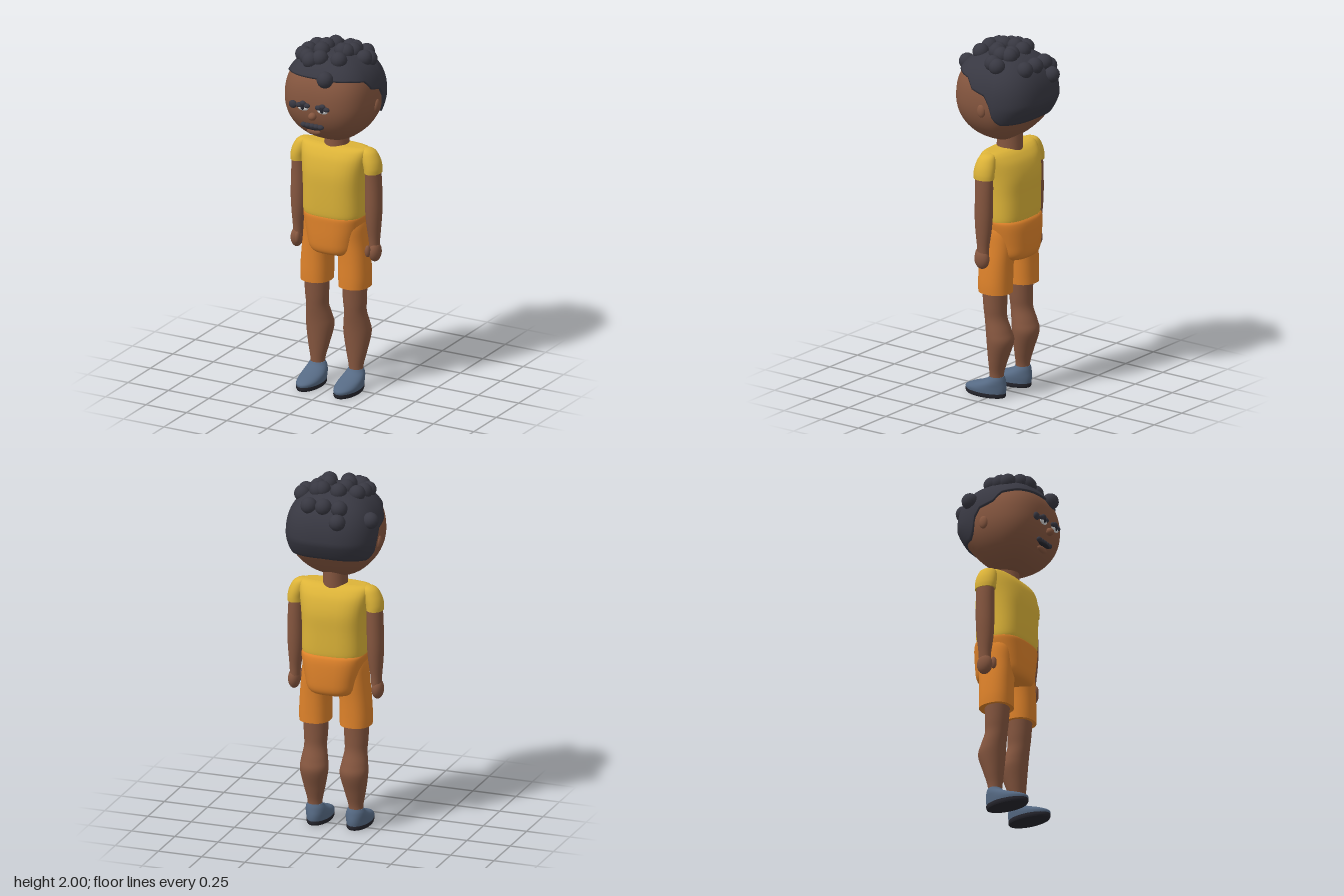
import * as THREE from 'three';
import { mergeVertices } from 'three/addons/utils/BufferGeometryUtils.js';

const mat = (name, color, side = THREE.FrontSide) => {
  const m = new THREE.MeshStandardMaterial({ color, side });
  m.name = name;
  return m;
};

function buildGeometry(pos, idx) {
  const g = new THREE.BufferGeometry();
  g.setAttribute('position', new THREE.Float32BufferAttribute(pos, 3));
  g.setIndex(idx);
  return g;
}

const spow = (v, e) => Math.sign(v) * Math.pow(Math.abs(v), e);

// Smooth loft through rings [y, halfWidth, zFront, zBack, xCentre], bottom to top, closed with caps
function loft(rings, n = 2, seg = 36, sub = 5) {
  const rows = [];
  const mix = (k, i, t) => {
    const at = (j) => rings[Math.min(Math.max(j, 0), rings.length - 1)][k] || 0;
    const [a, b, c, d] = [at(i - 1), at(i), at(i + 1), at(i + 2)];
    return b + 0.5 * t * (c - a + t * (2 * a - 5 * b + 4 * c - d + t * (3 * (b - c) + d - a)));
  };
  for (let i = 0; i < rings.length - 1; i++)
    for (let s = 0; s < sub; s++) rows.push([0, 1, 2, 3, 4].map((k) => mix(k, i, s / sub)));
  rows.push([0, 1, 2, 3, 4].map((k) => rings[rings.length - 1][k] || 0));

  const pos = [], idx = [];
  const addRing = ([y, rx, zf, zb, xc]) => {
    const start = pos.length / 3;
    for (let j = 0; j < seg; j++) {
      const a = (j / seg) * Math.PI * 2;
      pos.push(xc + rx * spow(Math.cos(a), 2 / n), y, (zf + zb) / 2 + ((zf - zb) / 2) * spow(Math.sin(a), 2 / n));
    }
    return start;
  };
  const starts = rows.map(addRing);
  for (let i = 0; i < rows.length - 1; i++)
    for (let j = 0; j < seg; j++) {
      const k = (j + 1) % seg, a = starts[i], b = starts[i + 1];
      idx.push(a + j, b + j, a + k, a + k, b + j, b + k);
    }
  for (const top of [false, true]) {
    const r = rows[top ? rows.length - 1 : 0];
    const s = addRing(r), c = pos.length / 3;
    pos.push(r[4], r[0], (r[2] + r[3]) / 2);
    for (let j = 0; j < seg; j++) {
      const k = (j + 1) % seg;
      idx.push(c, s + (top ? k : j), s + (top ? j : k));
    }
  }
  const g = buildGeometry(pos, idx);
  g.computeVertexNormals();
  return g;
}

// Head: squarish in plan, egg-shaped in profile, tucked in at the nape
const CY = 1.69, RY = 0.25;
function headPoint(a, v, grow) {
  const t = Math.sin(v), m = t > 0 ? 2.4 : 2;
  const s = Math.pow(Math.max(0, 1 - Math.pow(Math.abs(t), m)), 1 / m);
  const c = Math.cos(a);
  let z = (c > 0 ? 0.243 : 0.258 + 0) * spow(c, 2 / 2.7) * s;
  if (c < 0 && t < 0) z *= 1 + 0.35 * t;
  return [0.253 * spow(Math.sin(a), 2 / 2.7) * s * grow, CY + RY * t * grow, z * grow];
}

function headSurface(lowest, growAt, seg = 72, rows = 32) {
  const pos = [], idx = [];
  for (let i = 0; i <= rows; i++)
    for (let j = 0; j < seg; j++) {
      const a = (j / seg) * Math.PI * 2;
      const v = Math.PI / 2 + (lowest(a) - Math.PI / 2) * Math.min(1, i / (rows - 1));
      pos.push(...headPoint(a, v, growAt(i, rows)));
    }
  for (let i = 0; i < rows; i++)
    for (let j = 0; j < seg; j++) {
      const k = (j + 1) % seg, p = i * seg, q = p + seg;
      idx.push(p + j, q + j, p + k, p + k, q + j, q + k);
    }
  const g = mergeVertices(buildGeometry(pos, idx), 1e-5);
  g.computeVertexNormals();
  return g;
}

// Hairline height by angle (degrees) from the forehead to the nape
const HAIRLINE = [[0, 1.84], [50, 1.835], [77, 1.82], [85, 1.77], [96, 1.745], [101, 1.69], [106, 1.62], [118, 1.59], [180, 1.6]];
function hairlineAngle(a) {
  const d = THREE.MathUtils.radToDeg(a > Math.PI ? Math.PI * 2 - a : a);
  let i = 0;
  while (i < HAIRLINE.length - 2 && d > HAIRLINE[i + 1][0]) i++;
  const [d0, y0] = HAIRLINE[i], [d1, y1] = HAIRLINE[i + 1];
  return Math.asin((y0 + ((y1 - y0) * (d - d0)) / (d1 - d0) - CY) / RY);
}

// Curl centres [x, z], resting on the hair cap
const CURLS = [[-0.09, -0.24], [-0.085, -0.195], [0.005, -0.2], [0.09, -0.195], [-0.235, -0.115], [-0.04, -0.085],
  [-0.13, -0.04], [-0.06, -0.02], [-0.05, 0.05], [-0.145, 0.025], [-0.15, 0.075], [-0.1, 0.12], [-0.07, 0.145],
  [-0.02, 0.125], [0.055, -0.08], [0.08, -0.085], [0.095, -0.04], [0.055, 0.01], [0.075, 0.005], [0.175, -0.07],
  [0.165, -0.035], [0.085, 0.105], [0.06, 0.215]];

export function createModel() {
  const model = new THREE.Group();
  model.name = 'child';
  const skin = mat('skin', 0x85563f), hair = mat('hair', 0x383842, THREE.DoubleSide);
  const yellow = mat('shirt yellow', 0xdcb338), orange = mat('shorts orange', 0xde822a);
  const blue = mat('shoe blue', 0x566a84), dark = mat('sole dark', 0x25252d), white = mat('eye white', 0xd8d8d8);

  const add = (name, geo, material, parent = model) => {
    const mesh = new THREE.Mesh(geo, material);
    mesh.name = name;
    parent.add(mesh);
    return mesh;
  };
  const blob = (name, material, [x, y, z], [rx, ry, rz], parent) => {
    const mesh = add(name, new THREE.SphereGeometry(1, 20, 14), material, parent);
    mesh.position.set(x, y, z);
    mesh.scale.set(rx, ry, rz);
    return mesh;
  };

  // Head, hair cap and curls
  add('head', headSurface(() => -Math.PI / 2, () => 1), skin);
  add('hairCap', headSurface(hairlineAngle, (i, n) => (i === n ? 0.97 : 1.04)), hair);
  const curls = new THREE.Group();
  curls.name = 'curls';
  model.add(curls);
  for (const [x, z] of CURLS) {
    const r = Math.pow(Math.pow(Math.abs(x) / 0.265, 2.7) + Math.pow(Math.abs(z) / (z > 0 ? 0.252 : 0.27), 2.7), 1 / 2.7);
    const y = CY + 0.262 * Math.pow(Math.max(0, 1 - Math.pow(r, 2.4)), 1 / 2.4);
    const curl = add('curl', new THREE.SphereGeometry(0.046, 14, 10), hair, curls);
    curl.position.set(x, y, z);
  }

  // Face
  blob('nose', skin, [0, 1.637, 0.248], [0.023, 0.022, 0.023]);
  for (const s of [-1, 1]) {
    const eye = new THREE.Group();
    eye.name = s > 0 ? 'leftEye' : 'rightEye';
    model.add(eye);
    blob('eyeWhite', white, [s * 0.06, 1.678, 0.243], [0.033, 0.018, 0.01], eye);
    blob('pupil', dark, [s * 0.06, 1.682, 0.249], [0.013, 0.016, 0.008], eye);
    for (const [x, y] of [[0.035, 1.693], [0.06, 1.703], [0.085, 1.69]])
      blob('lash', hair, [s * x, y, 0.246], [0.019, 0.014, 0.012], eye);
    blob('ear', skin, [s * 0.25, 1.66, -0.02], [0.016, 0.037, 0.026]);
  }
  blob('outerLash', hair, [-0.125, 1.685, 0.24], [0.024, 0.022, 0.014]);
  for (let i = 0; i < 5; i++) blob('upperLip', hair, [-0.067 + i * 0.026, 1.572, 0.222], [0.019, 0.014, 0.014]);
  blob('mouth', dark, [-0.015, 1.561, 0.219], [0.056, 0.012, 0.014]);
  blob('lowerLip', skin, [-0.015, 1.535, 0.207], [0.042, 0.018, 0.014]);

  // Neck and torso
  add('neck', loft([[1.37, 0.07, 0.05, -0.1], [1.43, 0.067, 0.045, -0.1], [1.55, 0.068, 0.04, -0.1]]), skin);
  add('shirt', loft([[1.0, 0.172, 0.108, -0.155], [1.03, 0.178, 0.116, -0.163], [1.15, 0.178, 0.12, -0.165],
    [1.25, 0.184, 0.118, -0.165], [1.33, 0.195, 0.1, -0.145], [1.375, 0.2, 0.075, -0.115],
    [1.398, 0.195, 0.05, -0.085], [1.405, 0.17, 0.025, -0.06]], 2.8), yellow);
  add('shortsSeat', loft([[0.78, 0.08, 0.05, -0.11], [0.79, 0.12, 0.09, -0.155], [0.82, 0.142, 0.109, -0.177],
    [0.88, 0.155, 0.115, -0.182], [0.96, 0.172, 0.116, -0.18], [1.0, 0.178, 0.115, -0.173],
    [1.015, 0.174, 0.108, -0.163]], 2.8), orange);

  // Limbs, built on the left and mirrored
  for (const s of [-1, 1]) {
    const side = s > 0 ? 'left' : 'right';
    const part = (name, rings, material, n) =>
      add(side + name, loft(rings.map(([y, rx, zf, zb, x]) => [y, rx, zf, zb, s * x]), n), material);

    part('Sleeve', [[1.27, 0.046, 0.038, -0.082, 0.228], [1.3, 0.048, 0.04, -0.083, 0.226], [1.34, 0.05, 0.037, -0.08, 0.215],
      [1.38, 0.044, 0.026, -0.07, 0.2], [1.398, 0.03, 0.01, -0.055, 0.19], [1.404, 0.01, -0.015, -0.03, 0.185]], yellow);
    part('Arm', [[0.84, 0.028, 0.012, -0.055, 0.235], [0.89, 0.031, 0.014, -0.057, 0.234], [0.98, 0.041, 0.025, -0.068, 0.231],
      [1.07, 0.046, 0.029, -0.074, 0.23], [1.2, 0.045, 0.028, -0.075, 0.228], [1.3, 0.042, 0.03, -0.073, 0.225]], skin);
    blob(side + 'Hand', skin, [s * 0.241, 0.815, -0.018], [0.033, 0.056, 0.045]);
    blob(side + 'Thumb', skin, [s * 0.218, 0.825, 0.024], [0.016, 0.034, 0.018]);

    part('ShortsLeg', [[0.6, 0.086, 0.074, -0.112, 0.117], [0.66, 0.087, 0.075, -0.112, 0.117], [0.76, 0.085, 0.074, -0.114, 0.113],
      [0.86, 0.084, 0.075, -0.12, 0.104], [0.95, 0.082, 0.08, -0.12, 0.097], [1.0, 0.07, 0.07, -0.11, 0.09]], orange, 2.3);
    part('Leg', [[0.09, 0.039, 0.01, -0.065, 0.119], [0.14, 0.042, 0.012, -0.067, 0.118], [0.22, 0.06, 0.017, -0.09, 0.117],
      [0.32, 0.078, 0.024, -0.122, 0.115], [0.38, 0.073, 0.03, -0.108, 0.116], [0.45, 0.062, 0.04, -0.083, 0.117],
      [0.52, 0.066, 0.048, -0.08, 0.117], [0.64, 0.07, 0.057, -0.083, 0.117]], skin);
    part('Shoe', [[0.018, 0.063, 0.172, -0.076, 0.115], [0.04, 0.066, 0.174, -0.08, 0.115], [0.06, 0.065, 0.135, -0.08, 0.115],
      [0.08, 0.06, 0.075, -0.077, 0.116], [0.1, 0.052, 0.03, -0.073, 0.117], [0.118, 0.043, 0.012, -0.067, 0.118]], blue);
    part('Sole', [[0, 0.061, 0.17, -0.074, 0.115], [0.01, 0.065, 0.176, -0.079, 0.115], [0.024, 0.065, 0.176, -0.079, 0.115]], dark);
  }
  return model;
}
